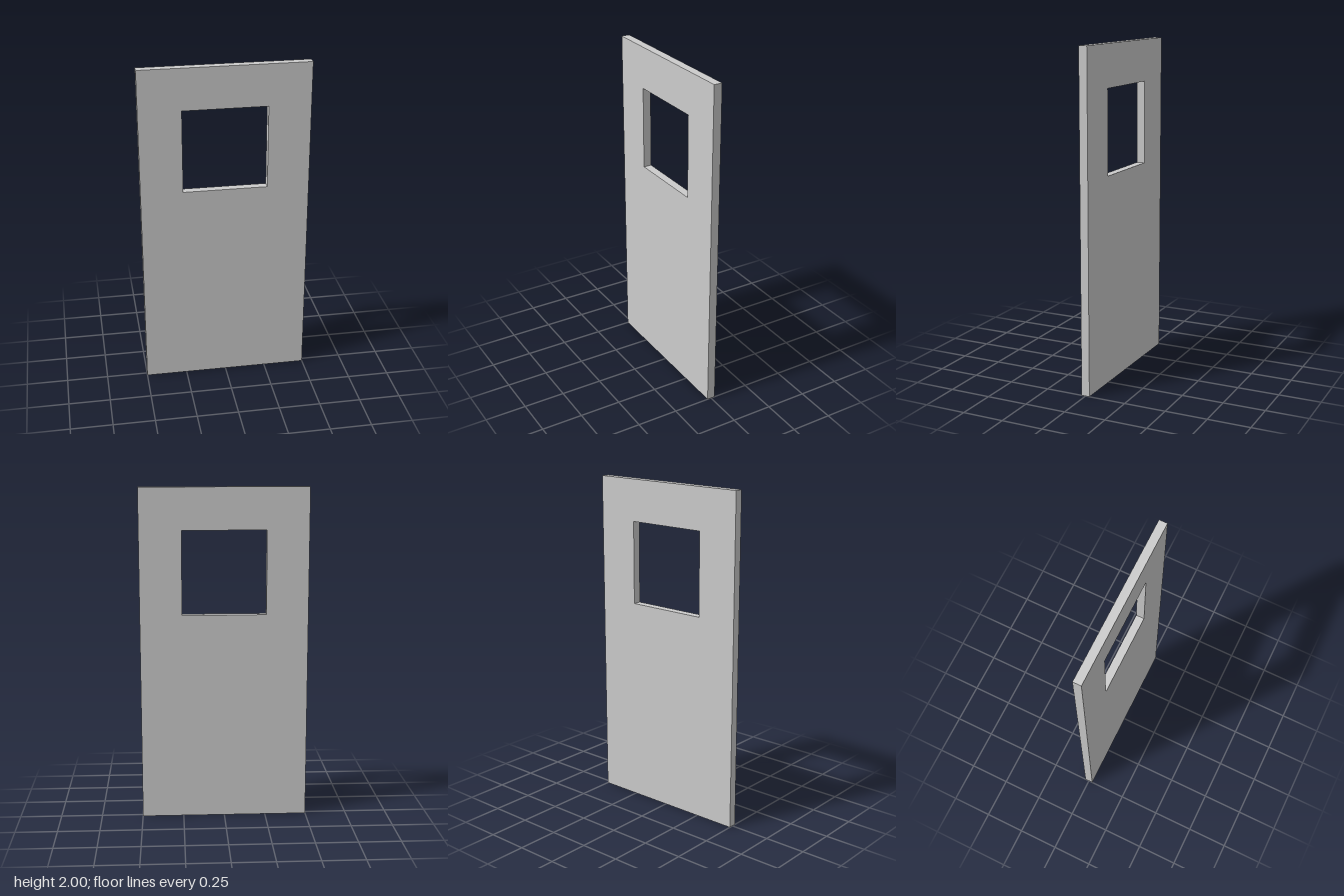
import * as THREE from 'three';

const WIDTH = 1, HEIGHT = 2, DEPTH = 0.05;
const WINDOW = { size: 0.5, bottom: 1.25 };

// Adds a closed rectangle, centred on x = 0, to a shape or path
function rectangle(path, width, bottom, height) {
  const h = width / 2;
  path.moveTo(-h, bottom);
  path.lineTo(h, bottom);
  path.lineTo(h, bottom + height);
  path.lineTo(-h, bottom + height);
  path.closePath();
  return path;
}

export function createModel() {
  const group = new THREE.Group();
  group.name = 'door';

  // Door panel with a square window opening
  const outline = rectangle(new THREE.Shape(), WIDTH, 0, HEIGHT);
  outline.holes.push(rectangle(new THREE.Path(), WINDOW.size, WINDOW.bottom, WINDOW.size));
  const geometry = new THREE.ExtrudeGeometry(outline, { depth: DEPTH, bevelEnabled: false });
  geometry.translate(0, 0, -DEPTH / 2);

  const panel = new THREE.Mesh(geometry, new THREE.MeshStandardMaterial({ color: 0xcccccc, flatShading: true }));
  panel.name = 'doorPanel';
  group.add(panel);
  return group;
}
